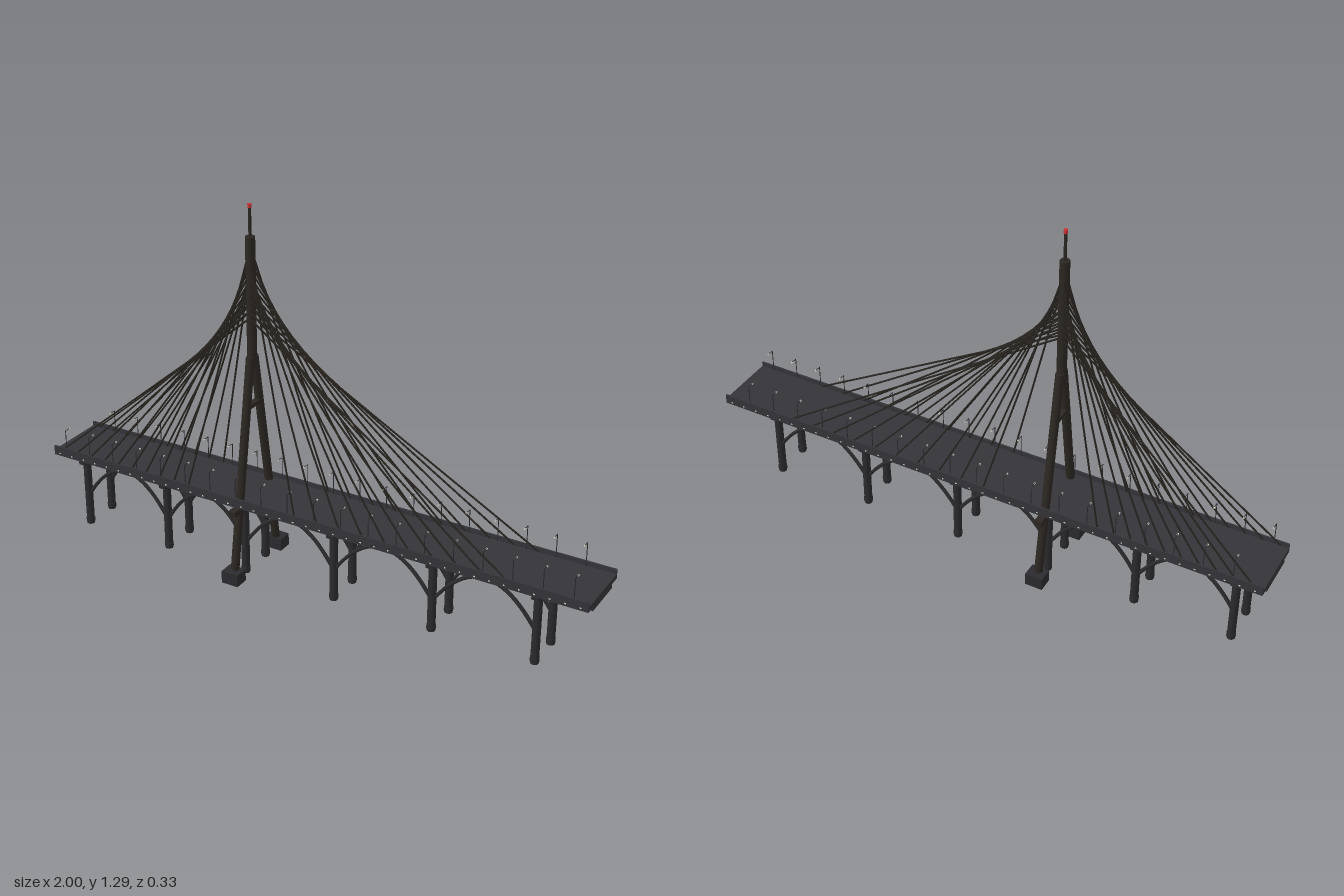
import * as THREE from 'three';

const mat = (color) => new THREE.MeshStandardMaterial({ color });
const deckMat = mat(0x343439), pierMat = mat(0x2b2b2f), towerMat = mat(0x2c2722);
const cableMat = mat(0x28241f), redMat = mat(0xcc3333), lampMat = mat(0xccccbb);
const V = (x, y, z) => new THREE.Vector3(x, y, z);
const UP = V(0, 1, 0);

const TOWER_X = -0.243;

export function createModel() {
  const model = new THREE.Group();
  model.name = 'cableStayedBridge';

  const section = (name) => {
    const g = new THREE.Group();
    g.name = name;
    model.add(g);
    return g;
  };
  const box = (parent, name, material, w, h, d, x, y, z) => {
    const m = new THREE.Mesh(new THREE.BoxGeometry(w, h, d), material);
    m.name = name;
    m.position.set(x, y, z);
    parent.add(m);
  };
  // round bar between two points
  const bar = (parent, name, material, a, b, r, sides = 6) => {
    const m = new THREE.Mesh(new THREE.CylinderGeometry(r, r, a.distanceTo(b), sides), material);
    m.name = name;
    m.position.copy(a).lerp(b, 0.5);
    m.quaternion.setFromUnitVectors(UP, b.clone().sub(a).normalize());
    parent.add(m);
  };

  // Deck: slab, girder below, parapets with small lights along both edges
  const deck = section('deck');
  box(deck, 'slab', deckMat, 2, 0.018, 0.224, 0, 0.278, 0);
  box(deck, 'girder', deckMat, 2, 0.016, 0.15, 0, 0.262, 0);
  for (const s of [1, -1]) {
    box(deck, 'parapet', deckMat, 2, 0.034, 0.006, 0, 0.286, s * 0.11);
    for (let i = 0; i < 40; i++)
      box(deck, 'edgeLight', lampMat, 0.006, 0.004, 0.002, -0.975 + i * 0.05, 0.278, s * 0.113);
  }

  // Piers in pairs, each pair joined by a cap beam
  const pierX = [-0.9, -0.56, TOWER_X, 0.1, 0.46, 0.82];
  const piers = section('piers');
  for (const x of pierX) {
    box(piers, 'pierCap', pierMat, 0.026, 0.016, 0.18, x, 0.25, 0);
    for (const s of [1, -1]) {
      bar(piers, 'pier', pierMat, V(x, 0, s * 0.062), V(x, 0.25, s * 0.062), 0.014, 12);
      bar(piers, 'pierCollar', pierMat, V(x, 0.007, s * 0.062), V(x, 0.022, s * 0.062), 0.0155, 12);
    }
  }

  // Slender arches between neighbouring piers
  const arches = section('arches');
  for (let i = 0; i < pierX.length - 1; i++) {
    for (const s of [1, -1]) {
      const a = pierX[i], b = pierX[i + 1], z = s * 0.062;
      const curve = new THREE.QuadraticBezierCurve3(V(a, 0.11, z), V((a + b) / 2, 0.39, z), V(b, 0.11, z));
      const arch = new THREE.Mesh(new THREE.TubeGeometry(curve, 24, 0.0065, 6), pierMat);
      arch.name = 'arch';
      arches.add(arch);
    }
  }

  // Tower: splayed legs on footings, mast, cross beams, spire
  const tower = section('tower');
  for (const s of [1, -1]) {
    box(tower, 'footing', pierMat, 0.062, 0.044, 0.052, TOWER_X, 0.022, s * 0.138);
    bar(tower, 'leg', towerMat, V(TOWER_X, 0.02, s * 0.132), V(TOWER_X, 0.775, s * 0.011), 0.0145, 12);
  }
  box(tower, 'lowerCrossBeam', towerMat, 0.026, 0.021, 0.284, TOWER_X, 0.257, 0);
  box(tower, 'upperCrossBeam', towerMat, 0.02, 0.014, 0.06, TOWER_X, 0.605, 0);
  bar(tower, 'mast', towerMat, V(TOWER_X, 0.735, 0), V(TOWER_X, 1.183, 0), 0.0162, 12);
  bar(tower, 'spire', towerMat, V(TOWER_X, 1.18, 0), V(TOWER_X, 1.28, 0), 0.0052, 8);
  bar(tower, 'beacon', redMat, V(TOWER_X, 1.277, 0), V(TOWER_X, 1.29, 0), 0.0068, 8);

  // Stay cables: the nearest anchor on the deck meets the highest point of the mast
  const cables = section('stayCables');
  const N = 10;
  for (let i = 0; i < N; i++) {
    const t = i / (N - 1);
    const topY = 1.13 - 0.22 * t;
    for (const x of [-0.44 - 0.535 * t, -0.02 + 0.765 * t])
      for (const s of [1, -1])
        bar(cables, 'cable', cableMat, V(x, 0.286, s * 0.109), V(TOWER_X, topY, s * 0.01), 0.0031, 6);
  }

  // Street lamps, the two rows staggered, arms over the road
  const lamps = section('streetLamps');
  for (const s of [1, -1]) {
    for (let x = s > 0 ? -0.95 : -0.9; x < 0.96; x += 0.1) {
      const z = s * 0.107;
      bar(lamps, 'lampPost', pierMat, V(x, 0.285, z), V(x, 0.37, z), 0.0014, 6);
      bar(lamps, 'lampArm', pierMat, V(x, 0.369, z), V(x, 0.371, z - s * 0.022), 0.0012, 5);
      box(lamps, 'lampHead', lampMat, 0.005, 0.003, 0.008, x, 0.369, z - s * 0.022);
    }
  }

  return model;
}
